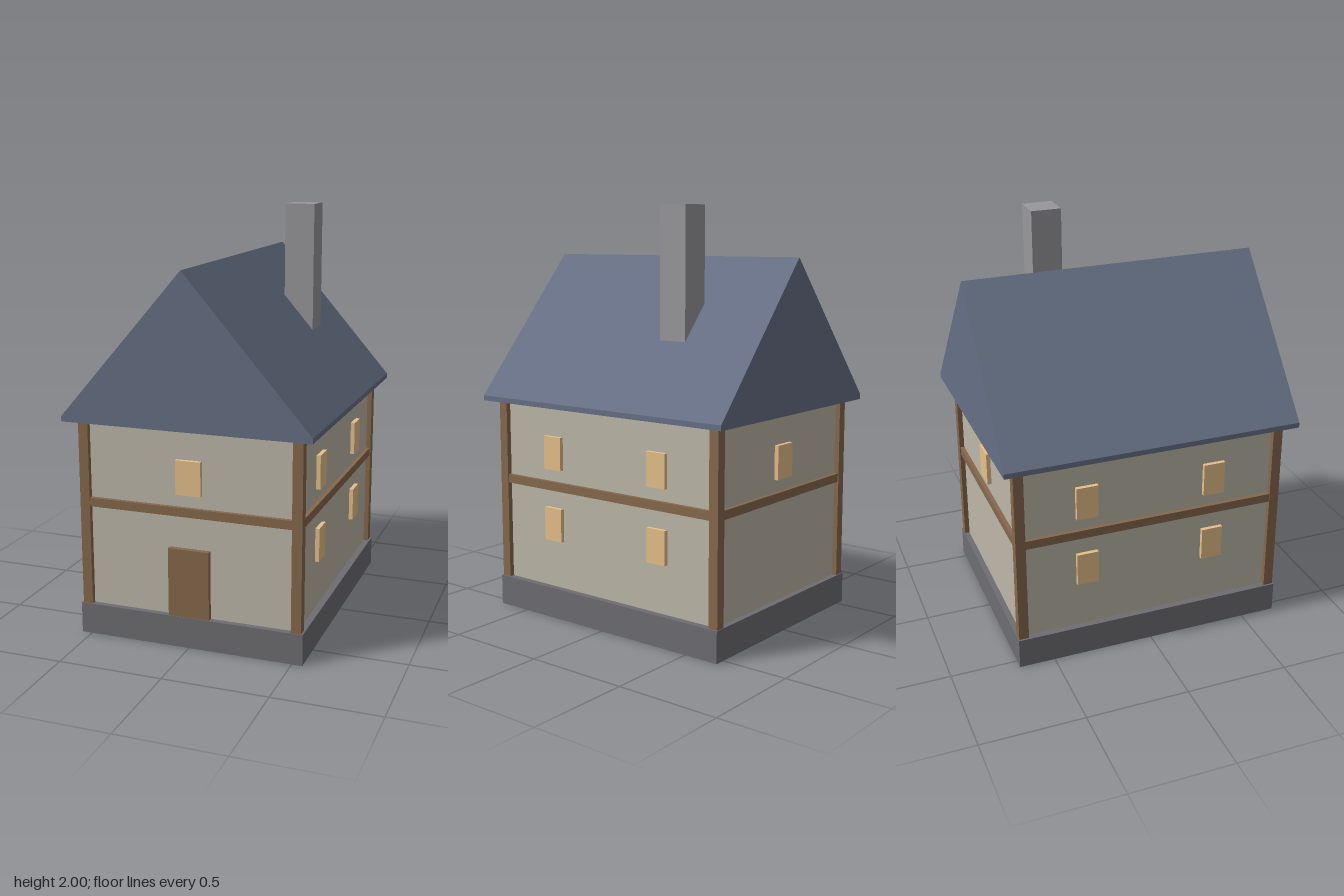
import * as THREE from 'three';

const paint = (color) => new THREE.MeshStandardMaterial({ color });

export function createModel() {
  const house = new THREE.Group();
  house.name = 'house';
  const stone = paint(0x6e6e72), plaster = paint(0xbdb7a8), wood = paint(0x86684c);
  const glow = paint(0xe6c08a), slate = paint(0x667085), brick = paint(0x98989c);

  const add = (name, geometry, material, x, y, z) => {
    const mesh = new THREE.Mesh(geometry, material);
    mesh.name = name;
    mesh.position.set(x, y, z);
    house.add(mesh);
    return mesh;
  };
  const box = (name, material, w, h, d, x, y, z) =>
    add(name, new THREE.BoxGeometry(w, h, d), material, x, y, z);

  const WX = 0.517, WZ = 0.647; // half sizes of the walls
  const BASE = 0.15, EAVE = 1.05;
  const wallMid = (BASE + EAVE) / 2, wallH = EAVE - BASE;

  box('foundation', stone, 1.1, BASE, 1.35, 0, BASE / 2, 0);
  box('walls', plaster, WX * 2, wallH, WZ * 2, 0, wallMid, 0);

  for (const s of [-1, 1]) {
    // Corner posts
    for (const t of [-1, 1])
      box('cornerPost', wood, 0.048, wallH, 0.048, s * WX, wallMid, t * WZ);

    // Floor beams around the middle
    box('gableBeam', wood, WX * 2, 0.042, 0.04, 0, 0.657, s * WZ);
    box('sideBeam', wood, 0.04, 0.042, WZ * 2, s * WX, 0.657, 0);

    // Windows: one per gable, four per long side
    box('gableWindow', glow, 0.122, 0.163, 0.04, 0, 0.82, s * WZ);
    for (const y of [0.467, 0.82])
      for (const z of [-0.32, 0.32])
        box('sideWindow', glow, 0.04, 0.163, 0.107, s * WX, y, z);
  }

  box('door', wood, 0.2, 0.33, 0.05, 0, BASE + 0.165, WZ);

  // Gabled roof with a thin upright eave edge
  const gable = new THREE.Shape([
    [-0.597, EAVE], [0.597, EAVE], [0.597, 1.075], [0, 1.763], [-0.597, 1.075],
  ].map(([x, y]) => new THREE.Vector2(x, y)));
  add('roof', new THREE.ExtrudeGeometry(gable, { depth: 1.45, bevelEnabled: false }), slate, 0, 0, -0.725);

  box('chimney', brick, 0.147, 0.75, 0.147, 0.257, 1.625, -0.257);

  return house;
}
